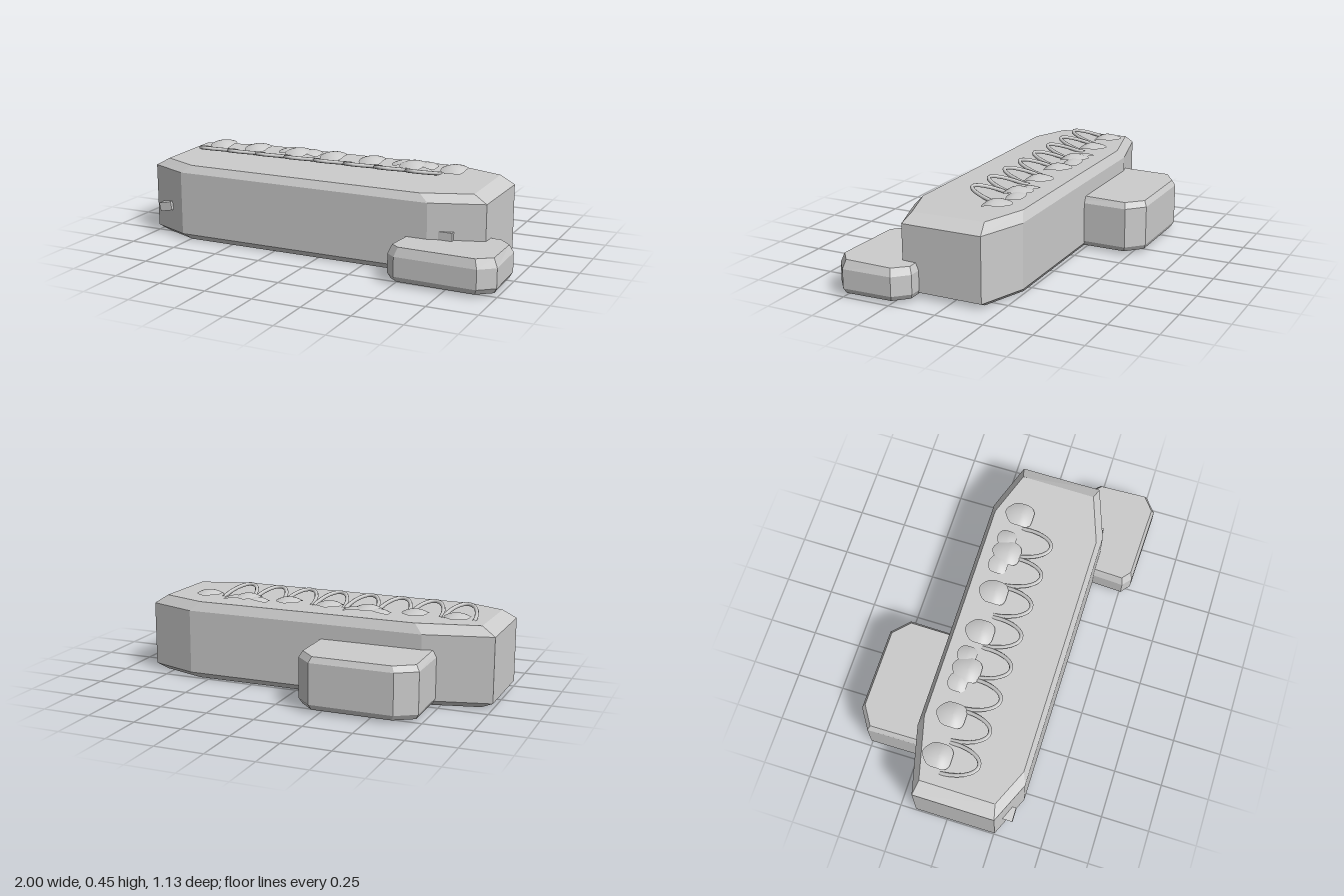
import * as THREE from 'three';

const flat = new THREE.MeshStandardMaterial({ color: 0xcccccc, flatShading: true });
const smooth = new THREE.MeshStandardMaterial({ color: 0xcccccc, side: THREE.DoubleSide });

function add(parent, name, geometry, material) {
  const mesh = new THREE.Mesh(geometry, material);
  mesh.name = name;
  parent.add(mesh);
  return mesh;
}

// Bevelled slab: a convex [x, z] outline (front, left, back, right) lofted through
// rings of [y, inset in x, inset in z, slope of y along z].
function slab(outline, rings) {
  const box = new THREE.Box2().setFromPoints(outline.map(([x, z]) => new THREE.Vector2(x, z)));
  const c = box.getCenter(new THREE.Vector2());
  const half = box.getSize(new THREE.Vector2()).multiplyScalar(0.5);
  const n = outline.length, pos = [], index = [];
  for (const [y, dx, dz, slope = 0] of rings) {
    for (const [x, z] of outline) {
      pos.push(c.x + (x - c.x) * (1 - dx / half.x), y + slope * (z - c.y), c.y + (z - c.y) * (1 - dz / half.y));
    }
  }
  for (let r = 0; r < rings.length - 1; r++) {
    for (let i = 0; i < n; i++) {
      const a = r * n + i, b = r * n + (i + 1) % n;
      index.push(a, b, b + n, a, b + n, a + n);
    }
  }
  const top = (rings.length - 1) * n;
  for (let i = 1; i < n - 1; i++) {
    index.push(0, i + 1, i, top, top + i, top + i + 1);
  }
  const g = new THREE.BufferGeometry();
  g.setAttribute('position', new THREE.Float32BufferAttribute(pos, 3));
  g.setIndex(index);
  g.computeVertexNormals();
  return g;
}

// Thin domed petal: a disc with a wavy rim and a small bump at the back
function petal(radius, bump) {
  const g = new THREE.RingGeometry(0.001, 1, 40, 6);
  const p = g.attributes.position;
  for (let i = 0; i < p.count; i++) {
    const a = Math.atan2(p.getY(i), p.getX(i));
    const t = Math.hypot(p.getX(i), p.getY(i));
    const lobe = bump * Math.exp(-(((a - Math.PI / 2) / 0.45) ** 2));
    const r = t * (radius * (1 + 0.07 * Math.cos(4 * a + Math.PI)) + lobe);
    const x = r * Math.cos(a), z = -r * Math.sin(a);
    p.setXYZ(i, x, -4 * x * x - (z > 0 ? 7 : 2.2) * z * z, z);
  }
  g.computeVertexNormals();
  return g;
}

export function createModel() {
  const model = new THREE.Group();
  model.name = 'plinth';

  // Long main block
  add(model, 'mainBlock', slab(
    [[-0.79, 0.348], [0.59, 0.348], [0.855, 0.255], [0.855, -0.165], [0.6, -0.253],
      [-0.1, -0.25], [-0.66, -0.25], [-1, -0.165], [-1, 0.255]],
    [[0, 0.06, 0.02], [0.028, 0, 0], [0.36, 0, 0], [0.403, 0.07, 0.024, -0.016]]), flat);

  // Low step at the front left
  add(model, 'frontStep', slab(
    [[0.505, 0.55], [0.92, 0.562], [0.997, 0.5], [0.99, 0.24], [0.92, 0.168], [0.52, 0.17],
      [0.47, 0.23], [0.457, 0.51]],
    [[0.016, 0.015, 0.012], [0.042, 0, 0], [0.14, 0, 0], [0.181, 0.02, 0.015, 0.025]]), flat);

  // Taller block at the back right
  add(model, 'backBlock', slab(
    [[-0.73, -0.05], [-0.12, -0.05], [-0.115, -0.48], [-0.2, -0.563], [-0.63, -0.565], [-0.733, -0.5]],
    [[0.016, 0.015, 0.012], [0.042, 0, 0], [0.25, 0, 0], [0.283, 0.018, 0.015, 0.015]]), flat);

  // Small pegs on the angled front corners
  for (const [x, y, tilt] of [[-0.905, 0.158, 0.2], [0.675, 0.198, 0]]) {
    const peg = add(model, 'peg', new THREE.BoxGeometry(0.072, 0.046, 0.05), flat);
    peg.position.set(x, y, 0.305);
    peg.rotation.z = tilt;
  }

  // Row of U-shaped loops rising toward the front
  const points = [];
  for (let i = 0; i <= 12; i++) {
    const a = Math.PI * i / 12;
    points.push(new THREE.Vector3(0.08 * Math.cos(a), 0.043 * Math.sin(a), 0.175 * Math.sin(a)));
  }
  const loopGeometry = new THREE.TubeGeometry(new THREE.CatmullRomCurve3(points), 32, 0.01, 8);
  const loops = new THREE.Group();
  loops.name = 'loops';
  model.add(loops);
  for (let i = 0; i < 8; i++) {
    add(loops, 'loop', loopGeometry, smooth).position.set(-0.785 + i * 0.1975 * 0.87, 0.4, -0.063);
  }

  // Row of domed blossoms behind the loops, two of them with side petals
  const body = petal(0.068, 0.022), ear = petal(0.05, 0.006);
  [-0.79, -0.575, -0.33, -0.12, 0.105, 0.335, 0.56].forEach((x, i) => {
    const blossom = new THREE.Group();
    blossom.name = 'blossom';
    blossom.position.set(x, 0.444, -0.09);
    model.add(blossom);
    add(blossom, 'petal', body, smooth);
    if (i === 2 || i === 5) {
      for (const s of [-1, 1]) {
        const side = add(blossom, 'sidePetal', ear, smooth);
        side.position.set(s * 0.078, -0.012, -0.03);
        side.rotation.z = -s * 0.15;
      }
    }
  });
  return model;
}
